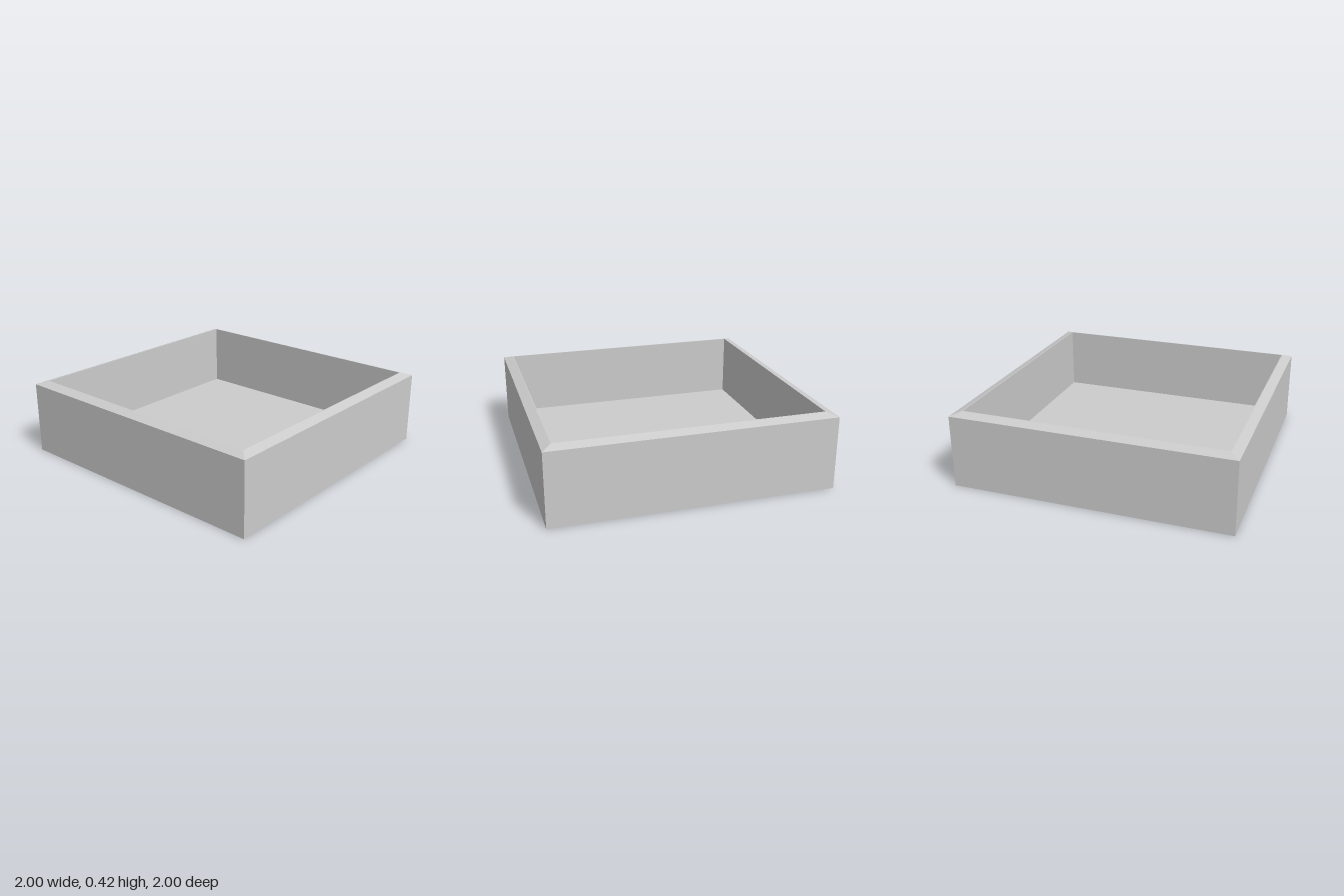
import * as THREE from 'three';

const CORNER = 1.073;   // centre to outer corner
const INNER = 0.996;    // centre to inner corner
const TURN = Math.atan2(0.39, 1); // angle of the front corner
const HEIGHT = 0.40, RIM = 0.418, FLOOR = 0.057;

export function createModel() {
  const tray = new THREE.Group();
  tray.name = 'tray';
  const material = new THREE.MeshStandardMaterial({ color: 0xcccccc, flatShading: true });

  // Sweeps a profile of [corner radius, height] around four square sides
  const addSquare = (name, profile) => {
    const points = profile.map(([r, y]) => new THREE.Vector2(r, y));
    const mesh = new THREE.Mesh(new THREE.LatheGeometry(points, 4, TURN), material);
    mesh.name = name;
    tray.add(mesh);
  };

  addSquare('base', [[0, 0], [CORNER, 0]]);
  addSquare('outerWalls', [[CORNER, 0], [CORNER, HEIGHT]]);
  // Rim slopes up from the outside to a narrow inner lip
  addSquare('rim', [[CORNER, HEIGHT], [INNER + 0.007, RIM], [INNER, RIM]]);
  addSquare('innerWalls', [[INNER, RIM], [INNER, FLOOR]]);
  addSquare('floor', [[INNER, FLOOR], [0, FLOOR]]);

  return tray;
}
